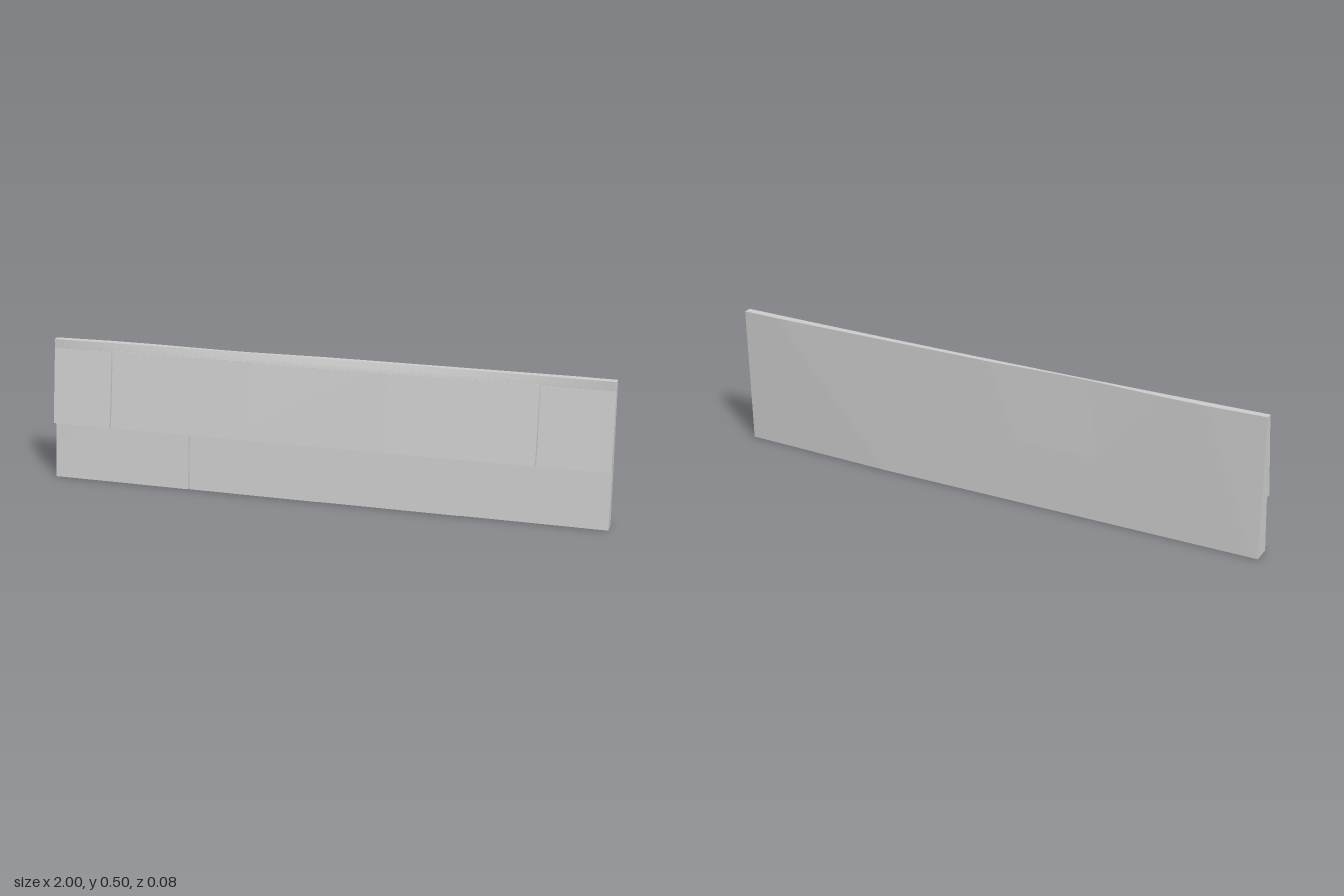
import * as THREE from 'three';

const H = 0.505;
const FRONT = -0.006, BACK = -0.039;

// Depth of the shallow hand-cut facets on the back of the panel
function backCut(x, y) {
  const leftCut = 0.03 * (x - 0.425 - 0.87 * y);
  const rightCut = 0.04 * (-0.98 + 0.367 * y - x);
  const middleCut = 0.04 * Math.min(
    y - 0.235,
    -x - 0.407 * (H - y),
    x + 0.41 + 0.9 * (y - 0.245)
  );
  return Math.max(0, leftCut, rightCut, middleCut);
}

// Solid wedge board: thick at the bottom edge, thin at the top
function board(name, x0, x1, yBottom, yTop, zLeft, zRight, zTop, material) {
  const geometry = new THREE.BoxGeometry(1, 1, 1);
  const p = geometry.attributes.position;
  for (let i = 0; i < p.count; i++) {
    const right = p.getX(i) > 0, top = p.getY(i) > 0, front = p.getZ(i) > 0;
    const z = !front ? -0.012 : top ? zTop : right ? zRight : zLeft;
    p.setXYZ(i, right ? x1 : x0, top ? yTop : yBottom, z);
  }
  geometry.computeVertexNormals();
  const mesh = new THREE.Mesh(geometry, material);
  mesh.name = name;
  return mesh;
}

export function createModel() {
  const model = new THREE.Group();
  model.name = 'boardSiding';
  const material = new THREE.MeshStandardMaterial({ color: 0xcccccc });

  // Backing panel with facets behind and a soft slope along the front top edge
  const geometry = new THREE.BoxGeometry(2, H, FRONT - BACK, 100, 28, 1);
  geometry.translate(0, H / 2, (FRONT + BACK) / 2);
  const p = geometry.attributes.position;
  for (let i = 0; i < p.count; i++) {
    const x = p.getX(i), y = p.getY(i), z = p.getZ(i);
    if (z < -0.02) p.setZ(i, z + backCut(x, y));
    else p.setZ(i, z - 0.35 * Math.max(0, y - 0.47) * (1 - x * x));
  }
  geometry.computeVertexNormals();
  const panel = new THREE.Mesh(geometry, material);
  panel.name = 'backingPanel';
  model.add(panel);

  // Lower course: [x start, x end, front at start, front at end]
  const lower = new THREE.Group();
  lower.name = 'lowerCourse';
  [
    [-1, -0.492, 0.03, 0.033],
    [-0.488, -0.01, 0.031, 0.034],
    [-0.01, 0.49, 0.032, 0.034],
    [0.49, 1, 0.031, 0.034],
  ].forEach(([a, b, zl, zr], i) =>
    lower.add(board('lowerBoard' + (i + 1), a, b, 0, 0.21, zl, zr, 0.011, material)));

  // Upper course overlapping the lower one
  const upper = new THREE.Group();
  upper.name = 'upperCourse';
  [
    [-1, -0.782, 0.034, 0.039, 0.472],
    [-0.778, -0.265, 0.036, 0.037, 0.477],
    [-0.265, 0.23, 0.038, 0.036, 0.473],
    [0.23, 0.746, 0.039, 0.036, 0.475],
    [0.75, 1, 0.035, 0.036, 0.472],
  ].forEach(([a, b, zl, zr, yTop], i) =>
    upper.add(board('upperBoard' + (i + 1), a, b, 0.203, yTop, zl, zr, -0.005, material)));

  model.add(lower, upper);
  return model;
}
